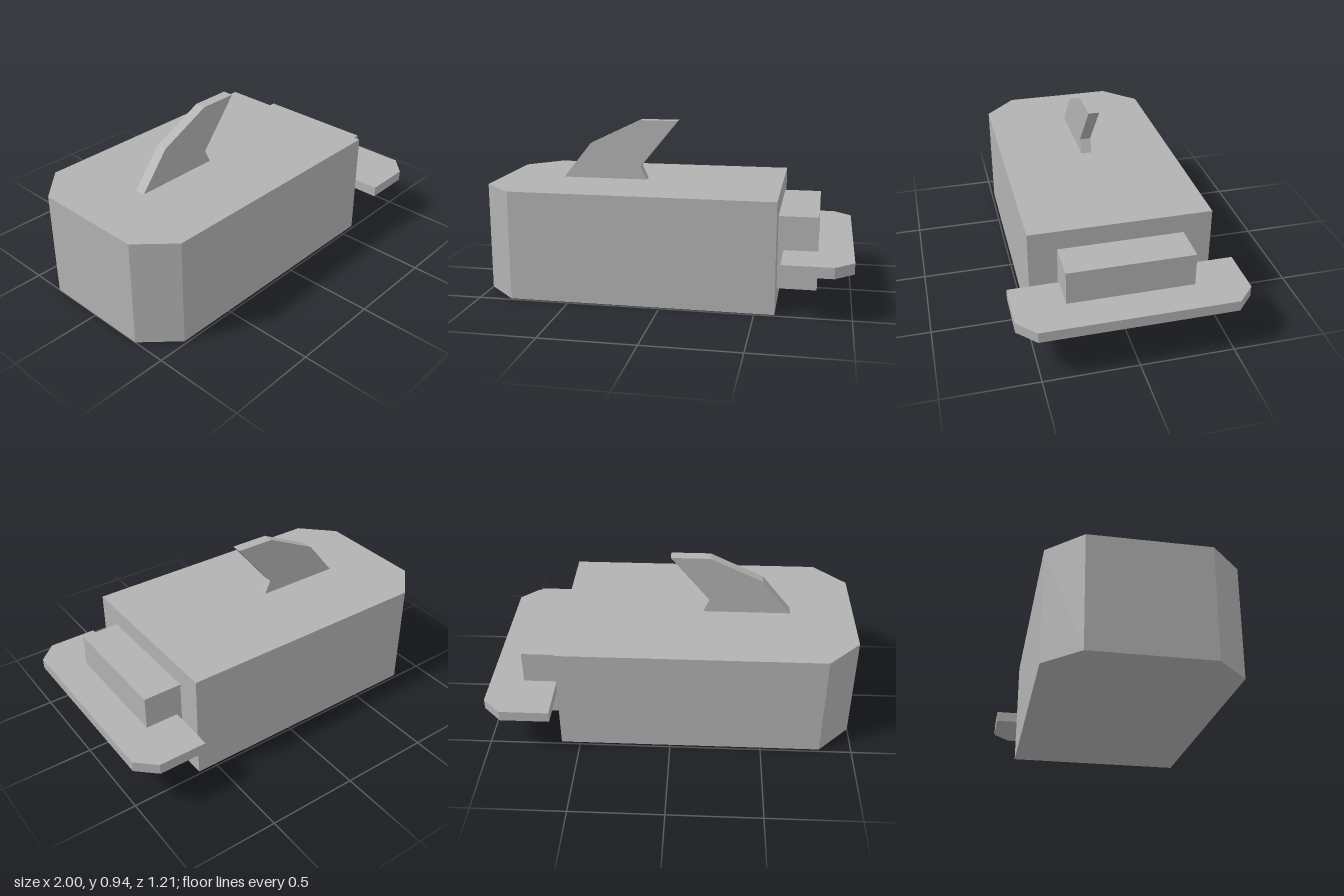
import * as THREE from 'three';

const grey = new THREE.MeshStandardMaterial({ color: 0xb2b2b2 });
grey.name = 'grey';

// Extrude a closed outline of [x, y] points along +z
function extrude(points, depth) {
  const shape = new THREE.Shape(points.map(([x, y]) => new THREE.Vector2(x, y)));
  return new THREE.ExtrudeGeometry(shape, { depth, bevelEnabled: false });
}

// Slab from half of a plan outline [x, z], mirrored across z and raised from y0 to y1
function slab(half, y0, y1) {
  const mirrored = half.map(([x, z]) => [x, -z]).reverse();
  return extrude([...half, ...mirrored], y1 - y0).rotateX(-Math.PI / 2).translate(0, y0, 0);
}

export function createModel() {
  const model = new THREE.Group();
  model.name = 'model';

  const add = (name, geometry) => {
    const mesh = new THREE.Mesh(geometry, grey);
    mesh.name = name;
    model.add(mesh);
  };

  // Main block with two chamfered corners
  add('body', slab([[0.605, 0.485], [-0.825, 0.485], [-1, 0.31]], 0, 0.597));

  // Block joining the body to the cross plate
  add('neck', new THREE.BoxGeometry(0.21, 0.395, 0.67).translate(0.71, 0.293, 0));

  // Thin wide plate with chamfered outer corners
  add('crossPlate', slab([[1, 0.51], [0.9, 0.605], [0.635, 0.605]], 0.25, 0.308));

  // Swept fin on top
  const fin = [[-0.65, 0.597], [-0.165, 0.597], [-0.2, 0.672], [0.015, 0.935], [-0.2, 0.935], [-0.49, 0.797]];
  add('fin', extrude(fin, 0.06).translate(0, 0, -0.03));

  return model;
}
